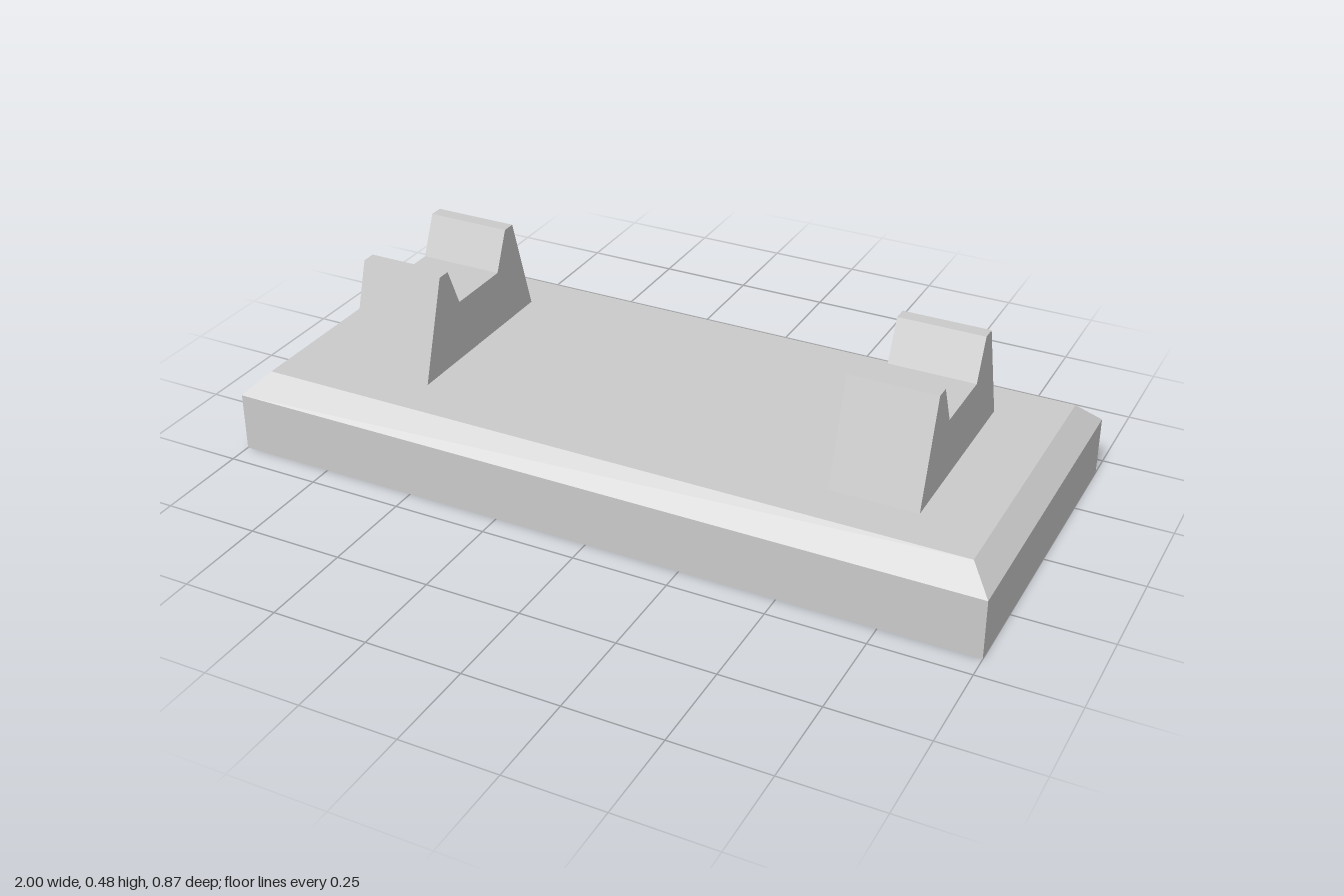
import * as THREE from 'three';

const material = new THREE.MeshStandardMaterial({ color: 0xcccccc, flatShading: true });

// Slab with a chamfered upper rim: a box whose vertex rows are moved to set heights
function baseGeometry(halfX, halfZ, shoulderY, topY, chamfer) {
  const box = new THREE.BoxGeometry(2, 2, 2, 1, 2, 1);
  const p = box.attributes.position;
  for (let i = 0; i < p.count; i++) {
    const row = Math.round(p.getY(i)); // -1 bottom, 0 shoulder, 1 top
    const inset = row === 1 ? chamfer : 0;
    p.setXYZ(
      i,
      Math.sign(p.getX(i)) * (halfX - inset),
      [0, shoulderY, topY][row + 1],
      Math.sign(p.getZ(i)) * (halfZ - inset)
    );
  }
  const geometry = box.toNonIndexed();
  geometry.computeVertexNormals();
  return geometry;
}

// Cradle: notched trapezoid profile (z, y), mirrored front to back and extruded along x
function cradleGeometry(width) {
  const half = [[0.26, 0.212], [0.177, 0.477], [0.14, 0.477], [0.094, 0.372]];
  const mirrored = half.map(([z, y]) => [-z, y]).reverse();
  const shape = new THREE.Shape([...half, ...mirrored].map(([z, y]) => new THREE.Vector2(z, y)));
  return new THREE.ExtrudeGeometry(shape, { depth: width, bevelEnabled: false })
    .translate(0, 0, -width / 2)
    .rotateY(-Math.PI / 2);
}

export function createModel() {
  const model = new THREE.Group();
  model.name = 'cradleStand';

  const base = new THREE.Mesh(baseGeometry(1, 0.437, 0.156, 0.212, 0.057), material);
  base.name = 'base';
  model.add(base);

  // One cradle near each end
  const cradle = cradleGeometry(0.225);
  for (const [name, side] of [['leftCradle', 1], ['rightCradle', -1]]) {
    const mesh = new THREE.Mesh(cradle, material);
    mesh.name = name;
    mesh.position.x = side * 0.66;
    model.add(mesh);
  }
  return model;
}
